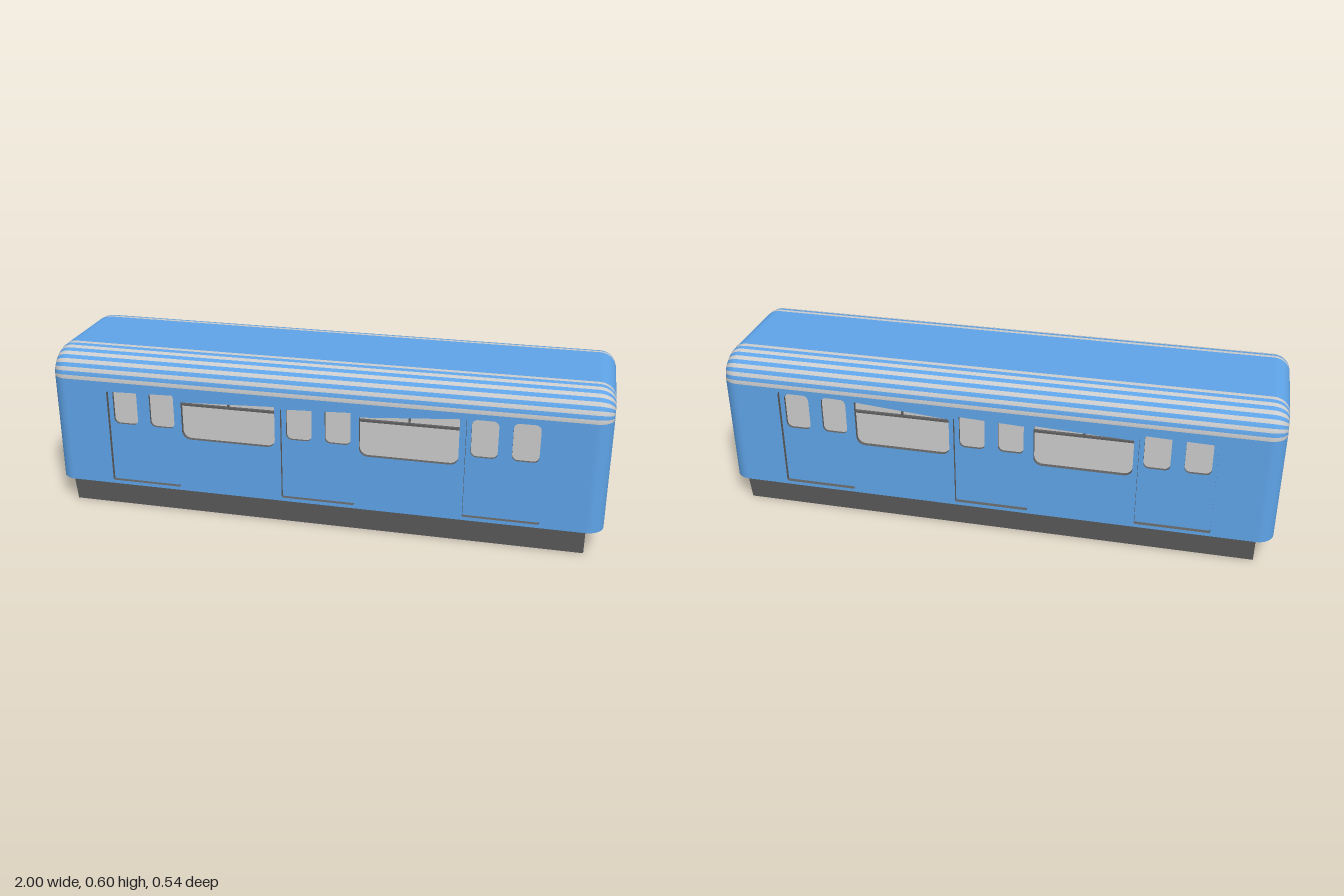
import * as THREE from 'three';
import { ParametricGeometry } from 'three/addons/geometries/ParametricGeometry.js';

const mat = (color) => new THREE.MeshStandardMaterial({ color });
const BLUE = mat(0x5fa4e8), GREY = mat(0xcccccc), DARK = mat(0x606060);

// Main dimensions
const FLOOR = 0.087, EAVE = 0.49, HALF_W = 0.27, ROOF_Z = 0.15, ROOF_Y = 0.595;
const R = 0.06, STRIPES = 11, STEPS = 8, STACKS = 2 * STEPS + 1;

function add(parent, name, geometry, material) {
  const mesh = new THREE.Mesh(geometry, material);
  mesh.name = name;
  parent.add(mesh);
}

// Closed outline from corners [x, y, radius]
function outline(corners, Type = THREE.Shape) {
  const path = new Type();
  const n = corners.length;
  const toward = (a, b, r) => {
    const l = Math.hypot(b[0] - a[0], b[1] - a[1]);
    return [a[0] + ((b[0] - a[0]) * r) / l, a[1] + ((b[1] - a[1]) * r) / l];
  };
  corners.forEach((c, i) => {
    const r = c[2] || 0;
    const p = toward(c, corners[(i + n - 1) % n], r);
    const q = toward(c, corners[(i + 1) % n], r);
    if (i === 0) path.moveTo(...p); else path.lineTo(...p);
    if (r) {
      const k = 0.55;
      path.bezierCurveTo(
        p[0] + (c[0] - p[0]) * k, p[1] + (c[1] - p[1]) * k,
        q[0] + (c[0] - q[0]) * k, q[1] + (c[1] - q[1]) * k, ...q);
    }
  });
  path.closePath();
  return path;
}
const rect = (x0, x1, y0, y1, r = 0) => [[x0, y0, r], [x1, y0, r], [x1, y1, r], [x0, y1, r]];

// Plate with cut-outs whose front lies at z
function plate(shape, holes, depth, z) {
  shape.holes = holes.map((h) => outline(h, THREE.Path));
  return new THREE.ExtrudeGeometry(shape, { depth, bevelEnabled: false, curveSegments: 8 })
    .translate(0, 0, z - depth);
}
const rectPlate = (x0, x1, y0, y1, depth, z, holes = []) =>
  plate(outline(rect(x0, x1, y0, y1)), holes, depth, z);

// Shell patch: the section profile(u, inset) swept along the car, rounding in at both ends
function sweep(profile, slices, k0 = 0, k1 = STACKS) {
  return new ParametricGeometry((u, v, target) => {
    const k = k0 + (k1 - k0) * v;
    const front = k < STACKS / 2;
    const t = front ? 1 - k / STEPS : (k - STEPS - 1) / STEPS;
    const a = t * Math.PI / 2;
    const [z, y] = profile(u, R * (1 - Math.cos(a)));
    target.set((front ? 1 : -1) * (1 - R + R * Math.sin(a)), y, z);
  }, slices, k1 - k0);
}

// Half of the rounded shell: corner posts, striped eave, roof
function halfShell() {
  const g = new THREE.Group();
  g.name = 'shellHalf';
  const post = (u, d) => [HALF_W - d, FLOOR + (EAVE - FLOOR) * u];
  add(g, 'cornerPost', sweep(post, 1, 0, STEPS), BLUE);
  add(g, 'cornerPost', sweep(post, 1, STEPS + 1, STACKS), BLUE);
  for (let i = 0; i < STRIPES; i++) {
    const stripe = (u, d) => {
      const a = ((i + u) / STRIPES) * Math.PI / 2;
      return [ROOF_Z + (HALF_W - ROOF_Z - d) * Math.cos(a), EAVE + (ROOF_Y - EAVE - d) * Math.sin(a)];
    };
    add(g, 'eaveStripe', sweep(stripe, 2), i % 2 ? BLUE : GREY);
  }
  add(g, 'roof', sweep((u, d) => [ROOF_Z * (1 - u), ROOF_Y - d], 1), BLUE);
  return g;
}

// Side wall with three recessed double doors and two windows; s mirrors it along the car
function sideWall(s) {
  const g = new THREE.Group();
  g.name = 'sideWall';
  const flip = (pts) => pts.map(([x, y, r]) => [x * s, y, r]);
  const doors = [[-0.65, 0.453, 0.46], [0, 0.444, 0.455], [0.65, 0.469, 0.481]];
  const windows = [[-0.327, 0.437, 0.451], [0.322, 0.44, 0.467]];
  const holes = [
    ...doors.map(([x, l, r]) => flip([[x - 0.133, 0.1, 0.006], [x + 0.133, 0.1, 0.006],
      [x + 0.133, r, 0.02], [x - 0.133, l, 0.006]])),
    ...windows.map(([x, l, r]) => flip([[x - 0.173, 0.295, 0.03], [x + 0.173, 0.295, 0.03],
      [x + 0.173, r, 0.004], [x - 0.173, l, 0.004]])),
  ];
  add(g, 'wallPanel', rectPlate(-1 + R, 1 - R, FLOOR, EAVE, 0.015, HALF_W, holes), [BLUE, DARK]);

  // Door leaves and their panes sit behind the openings
  for (const [x] of doors) {
    const cx = x * s;
    const panes = [-0.07, 0.07].map((o) => rect(cx + o - 0.046, cx + o + 0.046, 0.325, 0.463, 0.02));
    add(g, 'door', rectPlate(cx - 0.14, cx + 0.14, 0.095, 0.487, 0.01, HALF_W - 0.015, panes), [BLUE, DARK]);
    add(g, 'doorGlass', rectPlate(cx - 0.13, cx + 0.13, 0.31, 0.48, 0.004, HALF_W - 0.025), GREY);
  }
  // Window glass with transom and mullion
  for (const [x] of windows) {
    const cx = x * s;
    add(g, 'windowGlass', rectPlate(cx - 0.18, cx + 0.18, 0.285, 0.48, 0.004, HALF_W - 0.02), GREY);
    add(g, 'transom', rectPlate(cx - 0.173, cx + 0.173, 0.421, 0.429, 0.01, HALF_W - 0.01), DARK);
    add(g, 'mullion', rectPlate(cx - 0.003, cx + 0.003, 0.429, 0.475, 0.01, HALF_W - 0.01), DARK);
  }
  return g;
}

// Flat end wall with one large recessed window, built facing +z
function endWall() {
  const g = new THREE.Group();
  g.name = 'endWall';
  const w = HALF_W - R, rx = w - ROOF_Z, ry = ROOF_Y - R - EAVE;
  const hw = 0.201, top = 0.525, r = 0.028;
  const arch = (shape) => {
    shape.lineTo(w, EAVE);
    shape.absellipse(ROOF_Z, EAVE, rx, ry, 0, Math.PI / 2, false);
    shape.absellipse(-ROOF_Z, EAVE, rx, ry, Math.PI / 2, Math.PI, false);
  };

  const panel = new THREE.Shape();
  panel.moveTo(-w, FLOOR);
  panel.lineTo(w, FLOOR);
  arch(panel);
  panel.closePath();
  add(g, 'endPanel', plate(panel, [rect(-hw, hw, 0.214, top, r)], 0.015, 1), [BLUE, DARK]);
  add(g, 'endGlass', rectPlate(-0.205, 0.205, 0.2, 0.528, 0.004, 0.985), GREY);

  // Grey trim over the top of the window
  const trim = new THREE.Shape();
  trim.moveTo(hw, EAVE);
  arch(trim);
  trim.lineTo(-hw, EAVE);
  trim.lineTo(-hw, top - r);
  trim.quadraticCurveTo(-hw, top, -hw + r, top);
  trim.lineTo(hw - r, top);
  trim.quadraticCurveTo(hw, top, hw, top - r);
  trim.closePath();
  add(g, 'endTrim', new THREE.ShapeGeometry(trim, 8).translate(0, 0, 1.0008), GREY);
  return g;
}

export function createModel() {
  const model = new THREE.Group();
  model.name = 'railCar';

  for (const s of [1, -1]) {
    const half = new THREE.Group();
    half.name = s > 0 ? 'frontHalf' : 'backHalf';
    half.add(halfShell(), sideWall(s));
    half.rotation.y = s > 0 ? 0 : Math.PI;
    model.add(half);

    const end = endWall();
    end.rotation.y = s * Math.PI / 2;
    model.add(end);
  }

  // Underside of the shell
  const floor = new THREE.ShapeGeometry(outline(rect(-1, 1, -HALF_W, HALF_W, R)), 8);
  add(model, 'floor', floor.rotateX(Math.PI / 2).translate(0, FLOOR, 0), BLUE);

  // Tapered underframe
  const section = outline([[-0.255, 0], [0.255, 0], [HALF_W, FLOOR], [-HALF_W, FLOOR]]);
  add(model, 'underframe', plate(section, [], 1.88, 0.94).rotateY(Math.PI / 2), DARK);
  return model;
}
